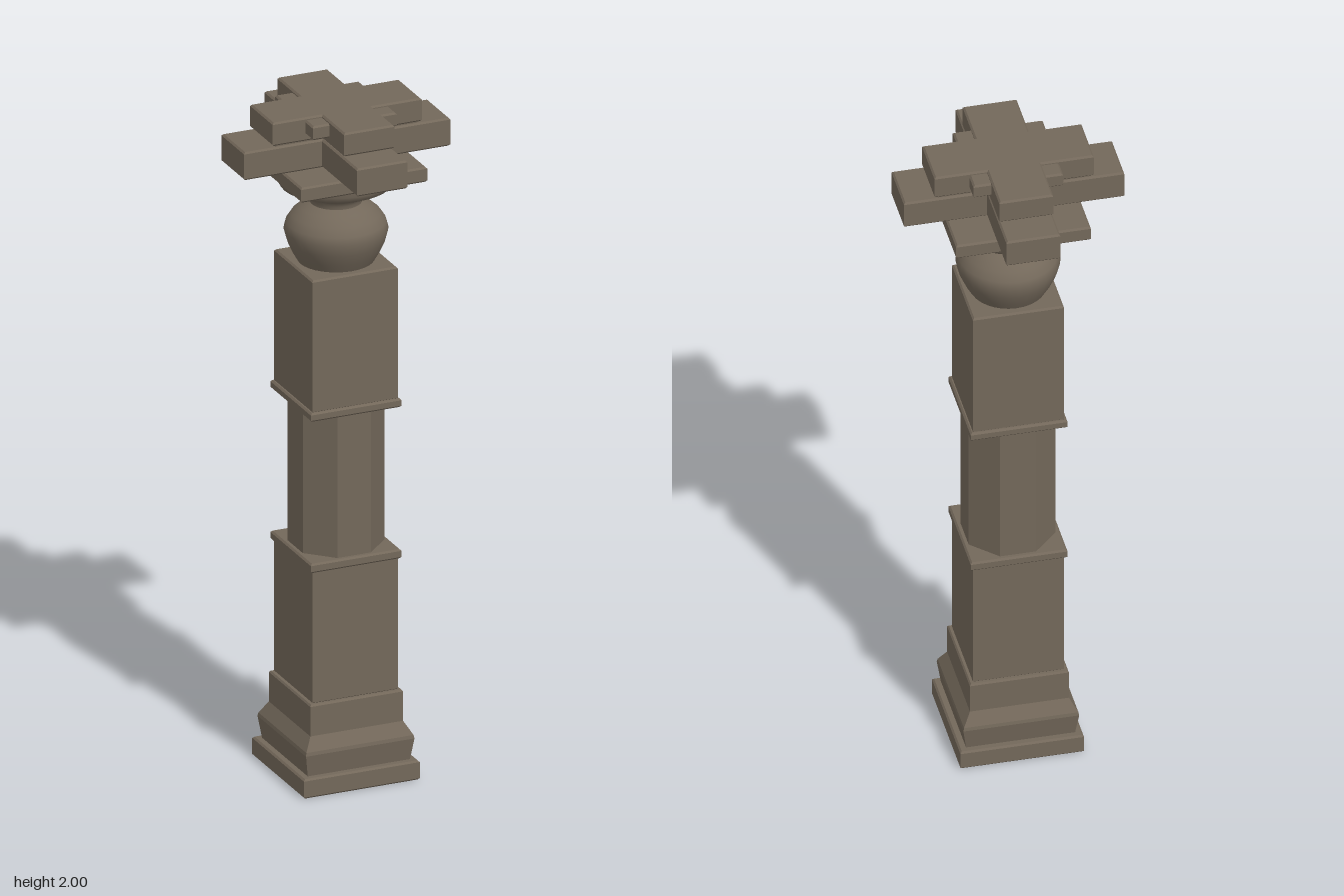
import * as THREE from 'three';

const stone = new THREE.MeshStandardMaterial({ color: 0x73685a });
stone.name = 'stone';

export function createModel() {
  const model = new THREE.Group();
  model.name = 'column';

  const add = (name, geometry) => {
    const mesh = new THREE.Mesh(geometry, stone);
    mesh.name = name;
    model.add(mesh);
    return mesh;
  };
  const flat = (geometry) => {
    const g = geometry.toNonIndexed();
    g.computeVertexNormals();
    return g;
  };

  // Upright slab with chamfered edges, from an outline and a height range
  const slab = (name, outline, y0, y1, bevel = 0.005) => {
    const shape = new THREE.Shape(outline.map(([x, z]) => new THREE.Vector2(x, z)));
    const g = new THREE.ExtrudeGeometry(shape, {
      depth: y1 - y0 - 2 * bevel,
      bevelEnabled: true,
      bevelSegments: 1,
      bevelSize: bevel,
      bevelThickness: bevel,
      bevelOffset: -bevel,
    });
    g.rotateX(-Math.PI / 2);
    g.translate(0, y0 + bevel, 0);
    return add(name, g);
  };
  const square = (h) => [[-h, -h], [h, -h], [h, h], [-h, h]];
  const cross = (l, w) => [
    [-w, -l], [w, -l], [w, -w], [l, -w], [l, w], [w, w],
    [w, l], [-w, l], [-w, w], [-l, w], [-l, -w], [-w, -w],
  ];
  const profile = (points) => points.map(([r, y]) => new THREE.Vector2(r, y));

  // Plinth and square base moulding
  slab('plinth', square(0.176), 0, 0.058);
  const moulding = [
    [0, 0.055], [0.155, 0.055], [0.165, 0.122], [0.163, 0.132],
    [0.141, 0.17], [0.141, 0.258], [0.137, 0.263], [0, 0.263],
  ].map(([h, y]) => [h * Math.SQRT2, y]);
  add('baseMoulding', flat(new THREE.LatheGeometry(profile(moulding), 4, Math.PI / 4)));

  // Square shafts with bands either side of the octagonal middle
  slab('lowerShaft', square(0.13), 0.26, 0.66);
  slab('lowerBand', square(0.138), 0.656, 0.684);
  const middle = new THREE.CylinderGeometry(0.124 / Math.cos(Math.PI / 8), 0.124 / Math.cos(Math.PI / 8), 0.43, 8);
  middle.rotateY(Math.PI / 8);
  middle.translate(0, 0.897, 0);
  add('octagonalShaft', flat(middle));
  slab('upperBand', square(0.138), 1.11, 1.136);
  slab('upperShaft', square(0.13), 1.132, 1.53);

  // Rounded bulb, then the neck flaring out into the capital
  add('bulb', new THREE.LatheGeometry(profile([
    [0.105, 1.525], [0.122, 1.555], [0.137, 1.588], [0.146, 1.622],
    [0.14, 1.645], [0.125, 1.668], [0.1, 1.69], [0.073, 1.703],
  ]), 32));
  add('neck', new THREE.LatheGeometry(profile([
    [0.073, 1.7], [0.073, 1.712], [0.08, 1.725], [0.1, 1.737],
    [0.135, 1.748], [0.157, 1.758], [0.166, 1.775], [0.167, 1.8],
  ]), 32));

  // Square cap carrying two stacked crosses and a corner block
  slab('abacus', square(0.192), 1.797, 1.842);
  slab('lowerCross', cross(0.314, 0.077), 1.842, 1.926);
  slab('crossJoint', cross(0.215, 0.07), 1.92, 1.94);
  slab('upperCross', cross(0.227, 0.077), 1.93, 2);
  slab('cornerBlock', square(0.128), 1.95, 1.992);

  return model;
}
